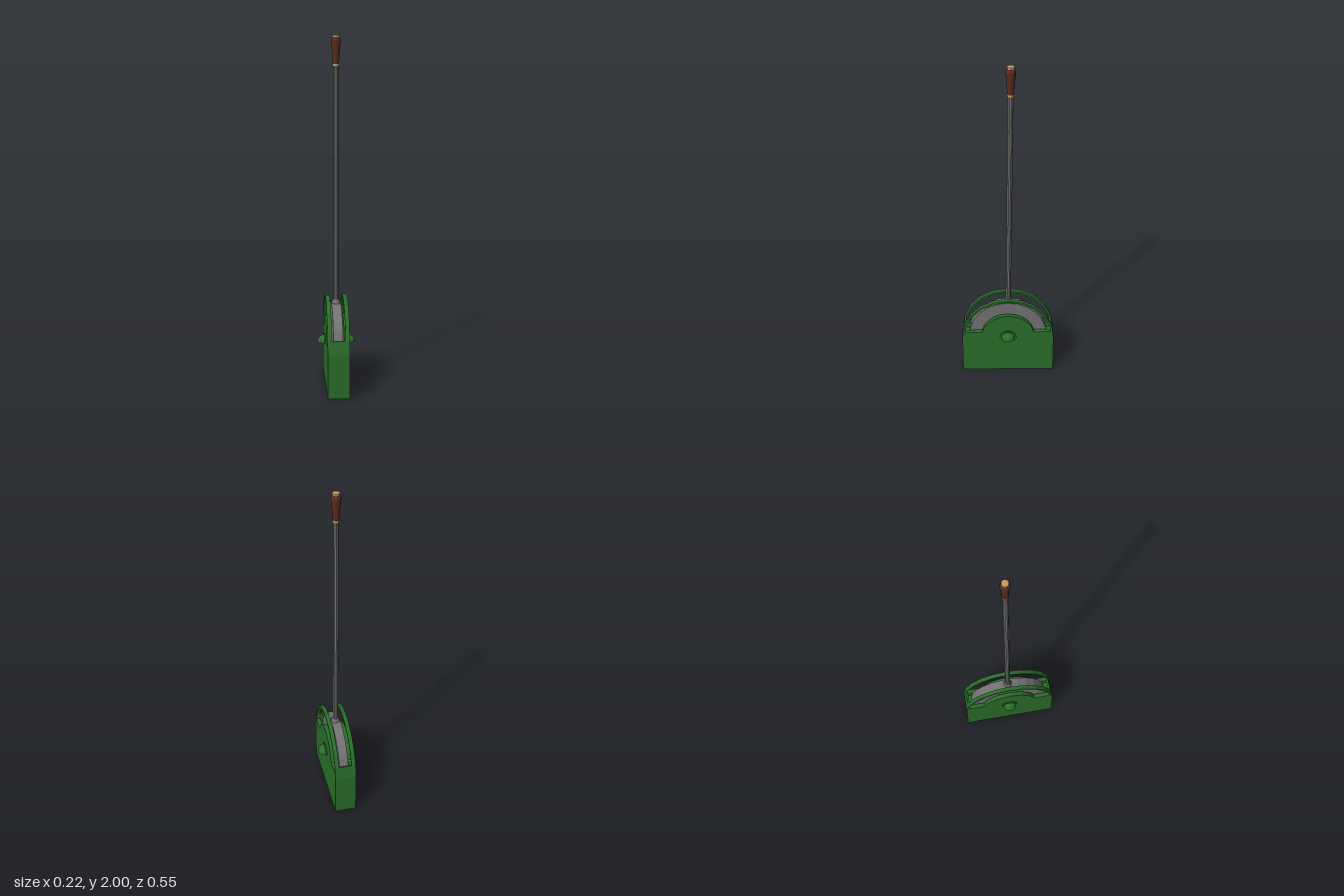
import * as THREE from 'three';

const AXLE_Y = 0.25;   // height of the pivot axis
const RIM_OUT = 0.273, RIM_IN = 0.261;

const paint = (color) => new THREE.MeshStandardMaterial({ color, flatShading: true });
const green = paint(0x2a6e2a);
const steel = paint(0x737373);
const wood = paint(0x5c2c1c);
const brass = paint(0xc89a62);

// Points of an arc about the pivot axis, angles in degrees
function arc(radius, from, to, segments) {
  const points = [];
  for (let i = 0; i <= segments; i++) {
    const a = THREE.MathUtils.degToRad(from + (to - from) * i / segments);
    points.push(new THREE.Vector2(radius * Math.cos(a), AXLE_Y + radius * Math.sin(a)));
  }
  return points;
}
const v = (x, y) => new THREE.Vector2(x, y);

// Side profile extruded across x, centred on the given x
function slab(name, points, width, x, material, hole) {
  const shape = new THREE.Shape(points);
  if (hole) shape.holes.push(new THREE.Path(hole));
  const geometry = new THREE.ExtrudeGeometry(shape, { depth: width, bevelEnabled: false });
  geometry.translate(0, 0, -width / 2);
  geometry.rotateY(Math.PI / 2);
  const mesh = new THREE.Mesh(geometry, material);
  mesh.name = name;
  mesh.position.x = x;
  return mesh;
}

// Turned part from [radius, y] pairs
function turned(name, pairs, segments, material) {
  const geometry = new THREE.LatheGeometry(pairs.map(([r, y]) => v(r, y)), segments);
  const mesh = new THREE.Mesh(geometry, material);
  mesh.name = name;
  return mesh;
}

export function createModel() {
  const model = new THREE.Group();
  model.name = 'floorLever';

  // Side plates: arched outline with a window between rim and hub
  const outline = [v(-RIM_OUT, 0), v(RIM_OUT, 0), ...arc(RIM_OUT, 0, 180, 10)];
  const opening = [
    v(0.2545, 0.29), ...arc(RIM_IN, 18, 162, 8), v(-0.2545, 0.29),
    ...arc(0.16, 165.5, 14.5, 10),
  ];
  for (const side of [1, -1]) {
    const label = side > 0 ? 'left' : 'right';
    model.add(slab(label + 'SidePlate', outline, 0.024, side * 0.05, green, opening));

    // Half washer and quarter-sphere axle cover
    model.add(slab(label + 'Washer', arc(0.05, 0, 180, 8), 0.006, side * 0.065, green));
    const cover = new THREE.Mesh(
      new THREE.SphereGeometry(0.04, 8, 5, side > 0 ? Math.PI / 2 : -Math.PI / 2, Math.PI, 0, Math.PI / 2), green);
    cover.name = label + 'AxleCover';
    cover.position.set(side * 0.068, AXLE_Y, 0);
    model.add(cover);
  }

  // Core between the plates, with raised end walls
  const rimOut = arc(RIM_OUT, 0, 18, 1), rimIn = arc(RIM_IN, 18, 0, 1);
  const half = [v(RIM_OUT, 0), ...rimOut, ...rimIn];
  const mirrored = half.map((p) => v(-p.x, p.y)).reverse();
  model.add(slab('housingCore', [...half, ...mirrored], 0.076, 0, green));

  // Quadrant disc that carries the lever
  model.add(slab('quadrantDisc', arc(0.23, 0, 180, 12), 0.054, 0, steel));

  // Lever, leaning slightly back about the axle
  const lever = new THREE.Group();
  lever.name = 'lever';
  lever.position.y = AXLE_Y;
  lever.rotation.x = -0.0086;
  lever.add(turned('leverCollar',
    [[0, 0.215], [0.025, 0.215], [0.025, 0.232], [0.018, 0.252], [0, 0.252]], 12, steel));
  lever.add(turned('leverRod', [[0, 0.21], [0.0155, 0.21], [0.0155, 1.585], [0, 1.585]], 10, steel));
  lever.add(turned('gripFerrule',
    [[0, 1.58], [0.018, 1.58], [0.018, 1.592], [0, 1.592]], 14, brass));
  lever.add(turned('grip',
    [[0, 1.591], [0.017, 1.591], [0.021, 1.65], [0.027, 1.71], [0.027, 1.722], [0.021, 1.738], [0, 1.738]], 14, wood));
  lever.add(turned('gripCap',
    [[0, 1.737], [0.02, 1.737], [0.02, 1.749], [0, 1.75]], 14, brass));
  model.add(lever);

  return model;
}
